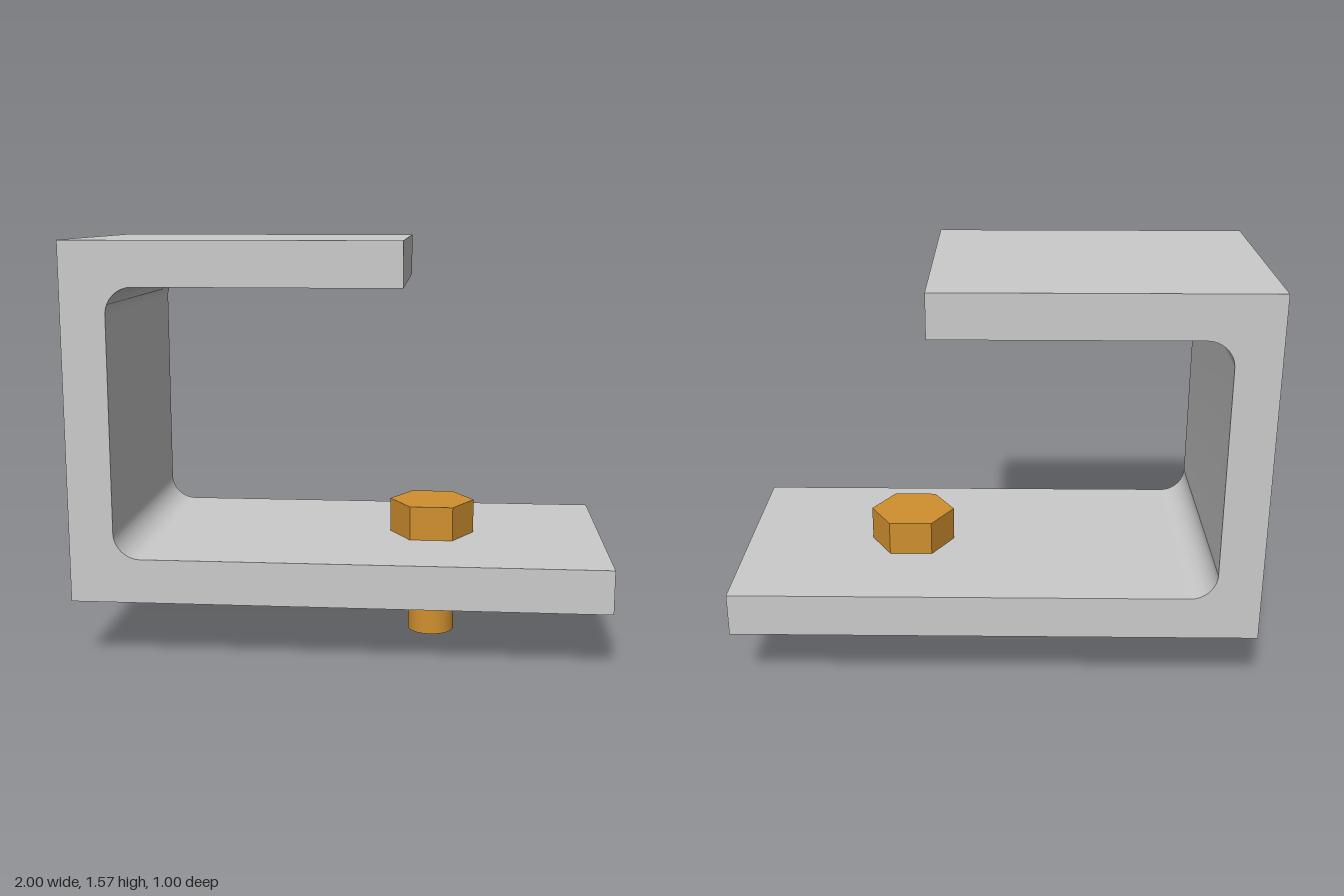
import * as THREE from 'three';
import { toCreasedNormals } from 'three/addons/utils/BufferGeometryUtils.js';

const BASE = 0.236, FLOOR = 0.402, CEILING = 1.404, TOP = 1.57;
const WALL = -0.834, FILLET = 0.1, DEPTH = 1;
const BOLT_X = 0.333, HOLE_R = 0.1;

// C-shaped side profile with rounded inner corners
function bracketProfile() {
  const s = new THREE.Shape();
  s.moveTo(-1, BASE);
  s.lineTo(1, BASE);
  s.lineTo(1, FLOOR);
  s.lineTo(WALL + FILLET, FLOOR);
  s.absarc(WALL + FILLET, FLOOR + FILLET, FILLET, -Math.PI / 2, -Math.PI, true);
  s.lineTo(WALL, CEILING - FILLET);
  s.absarc(WALL + FILLET, CEILING - FILLET, FILLET, Math.PI, Math.PI / 2, true);
  s.lineTo(0.23, CEILING);
  s.lineTo(0.23, TOP);
  s.lineTo(-1, TOP);
  s.closePath();
  return s;
}

// Remove the triangles that lie wholly at one of the given heights
function dropLevels(geometry, levels) {
  const g = geometry.index ? geometry.toNonIndexed() : geometry;
  const p = g.attributes.position;
  const kept = [];
  for (let i = 0; i < p.count; i += 3) {
    const flat = levels.some(y => [0, 1, 2].every(k => Math.abs(p.getY(i + k) - y) < 1e-5));
    if (!flat) for (let k = 0; k < 3; k++) kept.push(p.getX(i + k), p.getY(i + k), p.getZ(i + k));
  }
  const out = new THREE.BufferGeometry();
  out.setAttribute('position', new THREE.Float32BufferAttribute(kept, 3));
  return out;
}

// Flat rectangle from x0 to 1 with the bolt hole in it
function piercedFace(x0) {
  const s = new THREE.Shape([
    new THREE.Vector2(x0, -DEPTH / 2), new THREE.Vector2(1, -DEPTH / 2),
    new THREE.Vector2(1, DEPTH / 2), new THREE.Vector2(x0, DEPTH / 2),
  ]);
  const hole = new THREE.Path();
  hole.absarc(BOLT_X, 0, HOLE_R, 0, Math.PI * 2, true);
  s.holes.push(hole);
  return new THREE.ShapeGeometry(s, 24);
}

export function createModel() {
  const model = new THREE.Group();
  const grey = new THREE.MeshStandardMaterial({ color: 0xcccccc });
  const holeGrey = new THREE.MeshStandardMaterial({ color: 0xcccccc, side: THREE.BackSide });
  const brass = new THREE.MeshStandardMaterial({ color: 0xd0902f });
  const brassFlat = new THREE.MeshStandardMaterial({ color: 0xd0902f, flatShading: true });

  const add = (parent, name, geometry, material, x = 0, y = 0, z = 0) => {
    const mesh = new THREE.Mesh(geometry, material);
    mesh.name = name;
    mesh.position.set(x, y, z);
    parent.add(mesh);
    return mesh;
  };

  // Bracket: extruded C whose lower plate faces are replaced by pierced ones
  const bracket = new THREE.Group();
  bracket.name = 'bracket';
  const body = new THREE.ExtrudeGeometry(bracketProfile(), {
    depth: DEPTH, bevelEnabled: false, curveSegments: 16,
  });
  body.translate(0, 0, -DEPTH / 2);
  add(bracket, 'bracketBody', toCreasedNormals(dropLevels(body, [BASE, FLOOR]), Math.PI / 6), grey);
  add(bracket, 'plateTop', piercedFace(WALL + FILLET).rotateX(-Math.PI / 2), grey, 0, FLOOR);
  add(bracket, 'plateUnderside', piercedFace(-1).rotateX(Math.PI / 2), grey, 0, BASE);
  add(bracket, 'boltHole',
    new THREE.CylinderGeometry(HOLE_R, HOLE_R, FLOOR - BASE, 48, 1, true),
    holeGrey, BOLT_X, (FLOOR + BASE) / 2);

  // Bolt: hexagonal head with corners pointing along x, round shank
  const bolt = new THREE.Group();
  bolt.name = 'bolt';
  const headHeight = 0.133;
  add(bolt, 'boltHead', new THREE.CylinderGeometry(0.166, 0.166, headHeight, 6).rotateY(Math.PI / 6),
    brassFlat, BOLT_X, FLOOR + headHeight / 2);
  add(bolt, 'boltShank', new THREE.CylinderGeometry(0.092, 0.092, FLOOR, 48), brass, BOLT_X, FLOOR / 2);

  model.add(bracket, bolt);
  return model;
}
